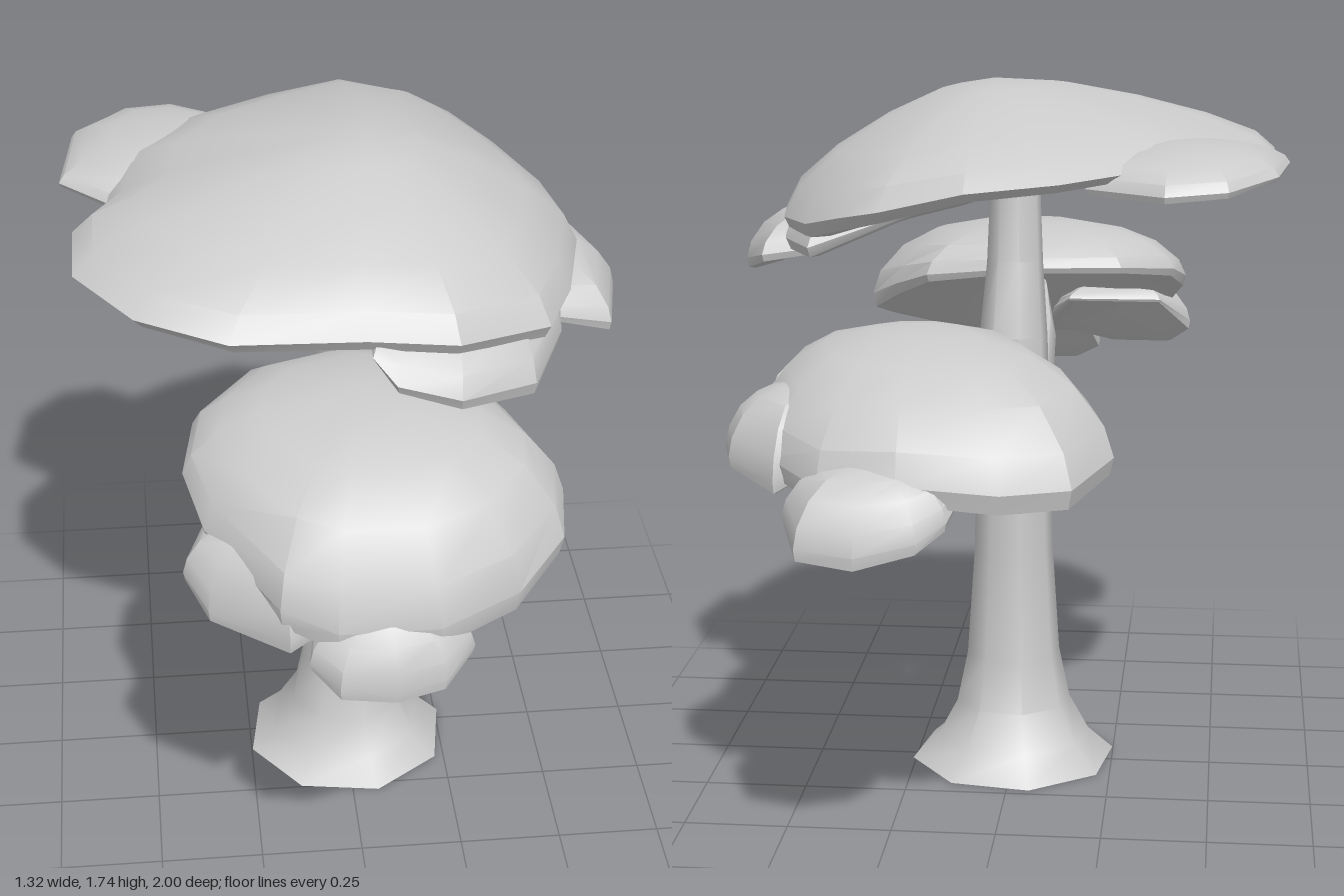
import * as THREE from 'three';
import { toCreasedNormals } from 'three/addons/utils/BufferGeometryUtils.js';

const material = new THREE.MeshStandardMaterial({ color: 0xcccccc });

// Skins a stack of equally sized rings (Vector3 loops) and closes both ends with a fan.
function skin(name, rings, start, end, crease) {
  const n = rings[0].length;
  const points = [...rings.flat(), start, end];
  const index = [];
  const first = rings.length * n, last = first + 1, top = first - n;
  for (let j = 0; j < n; j++) {
    const k = (j + 1) % n;
    for (let i = 0; i < rings.length - 1; i++) {
      const a = i * n + j, b = i * n + k;
      index.push(a, b, b + n, a, b + n, a + n);
    }
    index.push(first, k, j, last, top + j, top + k);
  }
  const geometry = new THREE.BufferGeometry().setFromPoints(points);
  geometry.setIndex(index);
  const mesh = new THREE.Mesh(toCreasedNormals(geometry, crease), material);
  mesh.name = name;
  return mesh;
}

// Eight-sided limb along a path of [x, y, z, radius].
function limb(name, path) {
  const centres = path.map(p => new THREE.Vector3(p[0], p[1], p[2]));
  const side = new THREE.Vector3(1, 0, 0);
  const rings = path.map((p, i) => {
    const tangent = centres[Math.min(i + 1, path.length - 1)].clone()
      .sub(centres[Math.max(i - 1, 0)]);
    if (p[1] === 0) tangent.set(0, 1, 0);
    const across = new THREE.Vector3().crossVectors(tangent, side).normalize();
    return Array.from({ length: 8 }, (_, j) => {
      const a = (j + 0.3) / 8 * Math.PI * 2;
      return centres[i].clone()
        .addScaledVector(side, Math.cos(a) * p[3])
        .addScaledVector(across, Math.sin(a) * p[3]);
    });
  });
  return skin(name, rings, centres[0], centres[centres.length - 1], 0.8);
}

// Dome profiles: share of the way out from the peak, share of the height.
const ROUND = [[0.6, 0.1], [0.9, -0.01], [0.98, 0], [1, 0.14], [0.95, 0.38], [0.8, 0.66], [0.58, 0.86], [0.3, 0.96]];
const SHALLOW = [[0.88, -0.01], [0.97, 0], [1, 0.1], [0.93, 0.3], [0.75, 0.53], [0.5, 0.76], [0.25, 0.93]];

// Leaf dome: a rim of [x, y, z] points rising to a peak, hollowed slightly underneath.
function dome(name, profile, peak, underY, rim) {
  const [px, py, pz] = peak;
  const angle = p => Math.atan2(p[0] - px, p[2] - pz);
  const loop = [...rim].sort((a, b) => angle(a) - angle(b));
  const rings = profile.map(([out, up]) => loop.map(([x, y, z]) => new THREE.Vector3(
    px + (x - px) * out, y + (py - y) * up, pz + (z - pz) * out)));
  return skin(name, rings, new THREE.Vector3(px, underY, pz), new THREE.Vector3(px, py, pz), 0.5);
}

function cluster(name, ...domes) {
  const group = new THREE.Group();
  group.name = name;
  group.add(...domes);
  return group;
}

export function createModel() {
  const model = new THREE.Group();
  model.name = 'tree';

  // Flared trunk and limbs
  model.add(limb('trunk', [
    [0.005, 0, 0.025, 0.26], [0.005, 0.06, 0.025, 0.195], [0.005, 0.15, 0.03, 0.145],
    [0.005, 0.28, 0.03, 0.118], [0.005, 0.55, 0.035, 0.1], [0.005, 0.84, 0.035, 0.093],
    [0.005, 1.1, 0.03, 0.085], [0.005, 1.28, 0.07, 0.07], [0.005, 1.52, 0.08, 0.06],
  ]));
  model.add(limb('frontBranch', [
    [0, 0.8, 0.04, 0.08], [0, 0.96, 0.08, 0.09], [0, 1.085, 0.185, 0.09],
    [0, 1.145, 0.34, 0.062], [0, 1.135, 0.48, 0.045], [0, 1.11, 0.62, 0.03],
  ]));
  model.add(limb('backBranch', [
    [0, 0.68, 0.03, 0.08], [0, 0.8, -0.05, 0.095], [0.01, 0.9, -0.15, 0.077],
    [0.04, 0.97, -0.27, 0.06], [0.1, 1.02, -0.43, 0.048], [0.17, 1.07, -0.62, 0.035],
  ]));

  // Wide crown, leaning down toward +x, with a lower layer on that side
  model.add(cluster('topCanopy',
    dome('topDome', SHALLOW, [0.05, 1.735, 0.03], 1.5, [
      [0.05, 1.53, -0.67], [0.24, 1.48, -0.65], [0.34, 1.45, -0.56], [0.44, 1.41, -0.42],
      [0.53, 1.39, -0.2], [0.56, 1.39, 0], [0.5, 1.39, 0.25], [0.42, 1.41, 0.45],
      [0.2, 1.45, 0.58], [0, 1.46, 0.56], [-0.3, 1.48, 0.58], [-0.5, 1.5, 0.48],
      [-0.63, 1.52, 0.3], [-0.63, 1.53, 0.1], [-0.55, 1.55, 0], [-0.52, 1.56, -0.2],
      [-0.38, 1.56, -0.4], [-0.15, 1.54, -0.57],
    ]),
    dome('rightLobe', ROUND, [-0.4, 1.625, -0.28], 1.54, [
      [-0.66, 1.55, -0.14], [-0.63, 1.55, -0.4], [-0.52, 1.53, -0.54], [-0.38, 1.52, -0.57],
      [-0.2, 1.52, -0.45], [-0.2, 1.52, -0.1], [-0.54, 1.54, -0.03],
    ]),
    dome('leftLobe', ROUND, [0.44, 1.44, 0], 1.36, [
      [0.66, 1.27, -0.02], [0.61, 1.29, 0.21], [0.45, 1.34, 0.24], [0.25, 1.4, 0],
      [0.45, 1.34, -0.22], [0.58, 1.32, -0.23],
    ]),
    dome('lowerLayer', ROUND, [0.24, 1.53, 0.1], 1.45, [
      [0.01, 1.44, 0.57], [0.06, 1.38, 0.61], [0.2, 1.34, 0.625], [0.38, 1.31, 0.52],
      [0.47, 1.33, 0.32], [0.5, 1.34, 0.1], [0.53, 1.35, -0.2], [0.44, 1.36, -0.4],
      [0.15, 1.47, -0.3], [0.02, 1.47, 0],
    ])));

  // Front foliage, drooping forward
  model.add(cluster('frontCanopy',
    dome('frontDome', ROUND, [0, 1.325, 0.47], 1.19, [
      [0.12, 0.94, 0.94], [0.3, 0.97, 0.86], [0.42, 1.02, 0.72], [0.44, 1.06, 0.58],
      [0.35, 1.13, 0.4], [0.25, 1.19, 0.25], [0, 1.23, 0.17], [-0.25, 1.22, 0.25],
      [-0.38, 1.19, 0.4], [-0.41, 1.14, 0.54], [-0.37, 1.07, 0.68], [-0.22, 0.98, 0.89],
      [-0.1, 0.94, 0.94],
    ]),
    dome('sideLobe', ROUND, [-0.22, 1.14, 0.68], 1.06, [
      [-0.42, 0.99, 0.7], [-0.37, 0.94, 0.79], [-0.2, 0.92, 0.9], [0, 0.98, 0.8],
      [-0.1, 1.1, 0.5], [-0.34, 1.09, 0.55],
    ]),
    dome('tipLobe', ROUND, [0.01, 1.03, 0.86], 0.95, [
      [-0.16, 0.89, 0.92], [-0.1, 0.85, 0.98], [0.02, 0.845, 0.995], [0.13, 0.855, 0.97],
      [0.2, 0.9, 0.9], [0.12, 1.02, 0.72], [-0.13, 1, 0.76],
    ])));

  // Back foliage, drooping backward
  model.add(cluster('backCanopy',
    dome('backDome', ROUND, [0.18, 1.215, -0.41], 1.09, [
      [0.17, 0.92, -0.91], [0.35, 0.9, -0.86], [0.48, 0.93, -0.72], [0.55, 0.96, -0.5],
      [0.53, 1, -0.33], [0.35, 1.05, -0.22], [0.1, 1.06, -0.2], [-0.1, 1.03, -0.3],
      [-0.23, 0.97, -0.5], [-0.28, 0.93, -0.65], [-0.2, 0.9, -0.84], [-0.05, 0.9, -0.9],
    ]),
    dome('tailLobe', ROUND, [0.23, 1, -0.82], 0.92, [
      [0.06, 0.87, -0.92], [0.12, 0.83, -0.97], [0.25, 0.8, -1], [0.38, 0.81, -0.97],
      [0.43, 0.85, -0.83], [0.25, 0.99, -0.62], [0.03, 0.93, -0.78],
    ]),
    dome('leftLobe', ROUND, [0.42, 1.11, -0.58], 1.02, [
      [0.61, 0.93, -0.55], [0.58, 0.93, -0.66], [0.46, 0.9, -0.77], [0.28, 0.99, -0.65],
      [0.3, 1.04, -0.45], [0.56, 0.97, -0.45],
    ]),
    dome('innerLobe', ROUND, [0.36, 1.13, -0.25], 1.08, [
      [0.35, 1.06, -0.1], [0.5, 1.04, -0.18], [0.54, 1.03, -0.33], [0.3, 1.08, -0.42],
      [0.2, 1.07, -0.16],
    ])));

  return model;
}
